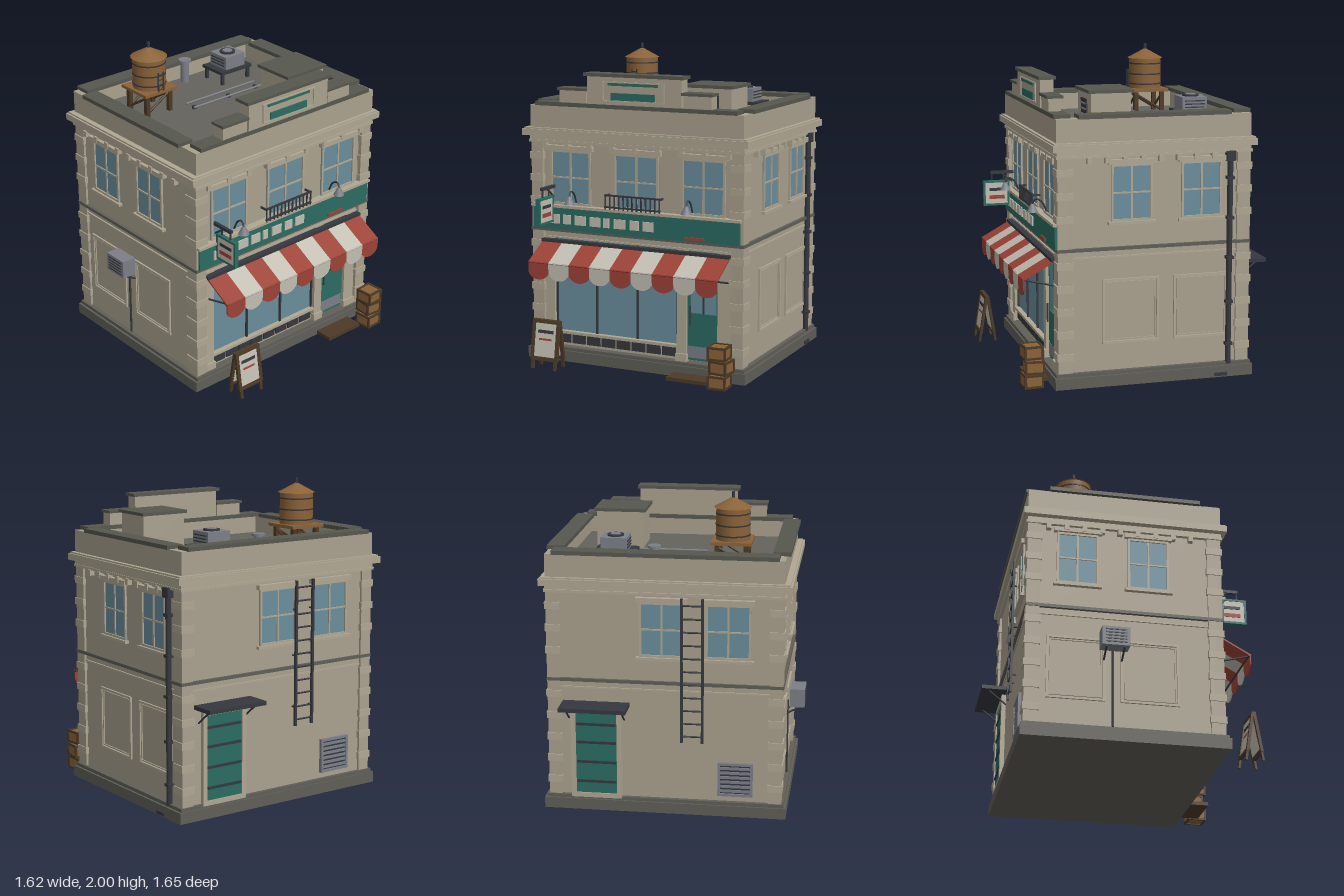
import * as THREE from 'three';

const C = { wall: 0xaaa18e, trim: 0xb0a793, stone: 0x5f5e57, roof: 0x65635c, cap: 0x56584f, teal: 0x2a6b62, red: 0x9c4236, white: 0xc2beb2,
  glass: 0x6a8e9c, dark: 0x35383e, metal: 0x7b7f87, wood: 0x8a6238, darkWood: 0x4c3a27 };
const mats = {};
const mat = (c) => (mats[c] ??= new THREE.MeshStandardMaterial({ color: C[c], roughness: 0.9, side: THREE.DoubleSide }));

function add(parent, name, color, geo, x = 0, y = 0, z = 0) {
  const m = new THREE.Mesh(geo, mat(color));
  m.name = name;
  m.position.set(x, y, z);
  parent.add(m);
  return m;
}
// box given by its limits on each axis
const box = (p, name, color, x0, x1, y0, y1, z0, z1) =>
  add(p, name, color, new THREE.BoxGeometry(x1 - x0, y1 - y0, z1 - z0), (x0 + x1) / 2, (y0 + y1) / 2, (z0 + z1) / 2);
const cyl = (p, name, color, r0, r1, h, x, y, z, n = 20) => add(p, name, color, new THREE.CylinderGeometry(r0, r1, h, n), x, y, z);
// round bar between two points
function bar(p, name, color, a, b, r = 0.006) {
  const A = new THREE.Vector3(...a), B = new THREE.Vector3(...b), d = B.clone().sub(A);
  const m = cyl(p, name, color, r, r, d.length(), 0, 0, 0, 8);
  m.position.copy(A).add(B).multiplyScalar(0.5);
  m.quaternion.setFromUnitVectors(new THREE.Vector3(0, 1, 0), d.normalize());
  return m;
}
function group(parent, name, x = 0, y = 0, z = 0, ry = 0) {
  const g = new THREE.Group();
  g.name = name;
  g.position.set(x, y, z);
  g.rotation.y = ry;
  parent.add(g);
  return g;
}
// rectangular frame facing +z
function frame(p, name, color, x0, x1, y0, y1, t, z0, z1) {
  box(p, name, color, x0, x1, y0, y0 + t, z0, z1);
  box(p, name, color, x0, x1, y1 - t, y1, z0, z1);
  box(p, name, color, x0, x0 + t, y0 + t, y1 - t, z0, z1);
  box(p, name, color, x1 - t, x1, y0 + t, y1 - t, z0, z1);
}
function sashWindow(g, x, w, y0 = 1.02, y1 = 1.37) {
  const h = w / 2, ym = (y0 + y1) / 2;
  box(g, 'windowGlass', 'glass', x - h, x + h, y0, y1, -0.01, 0.004);
  frame(g, 'windowFrame', 'trim', x - h, x + h, y0, y1, 0.014, 0, 0.014);
  box(g, 'windowMullion', 'trim', x - 0.006, x + 0.006, y0, y1, 0, 0.011);
  box(g, 'windowTransom', 'trim', x - h, x + h, ym - 0.005, ym + 0.005, 0, 0.011);
  box(g, 'windowSill', 'trim', x - h - 0.02, x + h + 0.02, y0 - 0.018, y0, 0, 0.028);
  box(g, 'windowLintel', 'trim', x - h - 0.02, x + h + 0.02, y1, y1 + 0.03, 0, 0.03);
}

function building(g) {
  box(g, 'plinth', 'stone', -0.73, 0.8, 0, 0.07, -0.69, 0.58);
  box(g, 'plinthStep', 'stone', -0.715, 0.785, 0.07, 0.092, -0.68, 0.57);
  box(g, 'lowerWalls', 'wall', -0.685, 0.755, 0.09, 0.86, -0.655, 0.5);
  box(g, 'upperWalls', 'wall', -0.685, 0.755, 0.8, 1.5, -0.655, 0.53);
  box(g, 'beltCourse', 'stone', -0.705, 0.775, 0.845, 0.865, -0.672, 0.56);
  box(g, 'beltMoulding', 'trim', -0.695, 0.765, 0.8, 0.81, -0.663, 0.54);
  // cornice in three tiers
  box(g, 'corniceLower', 'trim', -0.71, 0.78, 1.415, 1.432, -0.68, 0.565);
  box(g, 'corniceMiddle', 'trim', -0.705, 0.775, 1.432, 1.458, -0.672, 0.56);
  box(g, 'corniceUpper', 'trim', -0.747, 0.808, 1.458, 1.5, -0.7, 0.59);
  box(g, 'corniceTop', 'trim', -0.735, 0.796, 1.5, 1.51, -0.69, 0.58);
  box(g, 'roofDeck', 'roof', -0.66, 0.73, 1.5, 1.54, -0.63, 0.52);
  // parapet and coping
  for (const [x0, x1, z0, z1] of [[-0.7, -0.63, -0.67, 0.56], [0.7, 0.77, -0.67, 0.56], [-0.63, 0.7, -0.67, -0.6], [-0.63, 0.7, 0.48, 0.56]])
    box(g, 'parapet', 'wall', x0, x1, 1.5, 1.652, z0, z1);
  for (const [x0, x1, z0, z1] of [[-0.725, -0.615, -0.537, 0.424], [0.672, 0.783, -0.537, 0.424], [-0.664, 0.727, -0.68, -0.57], [-0.664, 0.727, 0.46, 0.565]])
    box(g, 'coping', 'cap', x0, x1, 1.65, 1.675, z0, z1);
  // corner pilasters with quoin bands
  for (const [x0, x1] of [[-0.7, -0.62], [0.69, 0.77]])
    for (const [z0, z1] of [[-0.67, -0.585], [0.465, 0.555]]) {
      box(g, 'cornerPilaster', 'wall', x0, x1, 0.09, 1.42, z0, z1);
      for (let y = 0.17; y < 1.4; y += 0.142)
        if (y < 0.8 || y > 1.02) box(g, 'quoin', 'trim', x0 - 0.007, x1 + 0.007, y, y + 0.045, z0 - 0.007, z1 + 0.007);
    }
  // windows and cornice brackets on each wall
  const walls = [['frontWall', 0, 0.53, 0, [[-0.425, 0.29], [0.04, 0.31], [0.497, 0.29]], -0.6, 0.67],
    ['leftWall', 0.755, 0, Math.PI / 2, [[-0.09, 0.26], [0.355, 0.26]], -0.36, 0.54],
    ['rightWall', -0.685, 0, -Math.PI / 2, [[0.09, 0.26], [-0.355, 0.26]], -0.54, 0.36],
    ['backWall', 0, -0.655, Math.PI, [[-0.05, 0.28], [0.36, 0.28]], null]];
  for (const [name, x, z, ry, wins, b0, b1] of walls) {
    const w = group(g, name, x, 0, z, ry);
    for (const [wx, ww] of wins) sashWindow(w, wx, ww);
    if (b0 !== null) for (let i = 0; i < 9; i++) {
      const bx = b0 + (b1 - b0) * i / 8;
      box(w, 'corniceBracket', 'trim', bx - 0.015, bx + 0.015, 1.38, 1.42, 0, 0.035);
    }
    if (wins.length === 2 && b0 !== null) for (const px of [-0.095, 0.36]) {
      const c = name === 'leftWall' ? px : -px;
      frame(w, 'wallPanelMoulding', 'trim', c - 0.18, c + 0.18, 0.26, 0.665, 0.015, 0, 0.012);
      frame(w, 'wallPanelInnerMoulding', 'wall', c - 0.16, c + 0.16, 0.28, 0.645, 0.008, 0, 0.008);
    }
  }
}

function shopfront(g) {
  for (const [x0, x1] of [[-0.62, -0.55], [0.32, 0.385], [0.595, 0.685]]) {
    box(g, 'shopColumn', 'trim', x0, x1, 0.09, 0.8, 0.49, 0.54);
    box(g, 'columnBase', 'trim', x0 - 0.005, x1 + 0.005, 0.09, 0.14, 0.49, 0.552);
  }
  box(g, 'shopGlass', 'glass', -0.55, 0.32, 0.18, 0.8, 0.49, 0.508);
  for (const x of [-0.545, -0.255, 0.035, 0.315]) box(g, 'shopMullion', 'dark', x - 0.006, x + 0.006, 0.18, 0.8, 0.49, 0.52);
  box(g, 'shopSill', 'trim', -0.55, 0.32, 0.172, 0.19, 0.49, 0.54);
  box(g, 'stallRiser', 'trim', -0.55, 0.32, 0.09, 0.175, 0.49, 0.515);
  for (let i = 0; i < 8; i++) box(g, 'riserPanel', 'dark', -0.54 + i * 0.107, -0.445 + i * 0.107, 0.11, 0.168, 0.5, 0.525);
  // entrance door
  box(g, 'doorGlass', 'glass', 0.385, 0.595, 0.11, 0.8, 0.49, 0.505);
  box(g, 'doorPanel', 'teal', 0.39, 0.59, 0.19, 0.4, 0.49, 0.52);
  box(g, 'kickPlate', 'metal', 0.39, 0.59, 0.115, 0.19, 0.49, 0.522);
  frame(g, 'doorFrame', 'teal', 0.385, 0.595, 0.1, 0.76, 0.015, 0.49, 0.52);
  box(g, 'doorMullion', 'dark', 0.484, 0.494, 0.4, 0.75, 0.49, 0.515);
  bar(g, 'doorHandle', 'dark', [0.41, 0.33, 0.535], [0.41, 0.45, 0.535]);
  box(g, 'doorStep', 'darkWood', 0.32, 0.6, 0.005, 0.028, 0.57, 0.7);
  // fascia sign
  box(g, 'fasciaBoard', 'teal', -0.685, 0.75, 0.86, 1.005, 0.52, 0.568);
  box(g, 'fasciaCap', 'trim', -0.695, 0.76, 1.003, 1.02, 0.52, 0.58);
  for (const [x0, x1] of [[-0.575, -0.49], [-0.463, -0.41], [-0.38, -0.3], [-0.273, -0.198], [-0.175, -0.135], [-0.1, -0.02], [0.01, 0.072], [0.1, 0.175]])
    box(g, 'fasciaBlock', 'white', x0, x1, 0.9, 0.96, 0.56, 0.576);
  box(g, 'fasciaAccent', 'red', 0.39, 0.52, 0.87, 0.888, 0.56, 0.576);
  // striped awning with scalloped valance
  const a = group(g, 'awning'), w = 0.145;
  for (let i = 0; i < 9; i++) {
    const c = i % 2 ? 'white' : 'red', x = -0.62 + i * w;
    add(a, 'awningStripe', c, new THREE.BoxGeometry(w, 0.01, 0.212), x + w / 2, 0.723, 0.658).rotation.x = 0.507;
    const s = new THREE.Shape();
    s.moveTo(0, 0.68).lineTo(0, 0.625);
    s.absellipse(w / 2, 0.625, w / 2, 0.058, Math.PI, Math.PI * 2, false);
    s.lineTo(w, 0.68);
    add(a, 'awningValance', c, new THREE.ExtrudeGeometry(s, { depth: 0.008, bevelEnabled: false, curveSegments: 10 }), x, 0, 0.742);
  }
  box(a, 'awningRail', 'dark', -0.625, 0.69, 0.775, 0.795, 0.535, 0.575);
  bar(a, 'awningFrontBar', 'dark', [-0.62, 0.67, 0.738], [0.685, 0.67, 0.738]);
  for (const x of [-0.6, 0.035, 0.665]) bar(a, 'awningArm', 'dark', [x, 0.62, 0.54], [x, 0.67, 0.735]);
}

function frontDetails(g) {
  // balcony railing
  for (const y of [1.03, 1.105]) box(g, 'balconyRail', 'dark', -0.16, 0.225, y, y + 0.01, 0.575, 0.588);
  for (let i = 0; i < 13; i++) bar(g, 'baluster', 'dark', [-0.155 + i * 0.0312, 1.02, 0.582], [-0.155 + i * 0.0312, 1.11, 0.582], 0.005);
  for (const x of [-0.155, 0.22]) box(g, 'balconyReturn', 'dark', x - 0.005, x + 0.005, 1.1, 1.112, 0.53, 0.582);
  // sign lamps
  for (const x of [-0.385, 0.425]) {
    const path = new THREE.CatmullRomCurve3([[0.54, 1.04], [0.57, 1.1], [0.61, 1.12], [0.63, 1.09]].map(([z, y]) => new THREE.Vector3(x, y, z)));
    add(g, 'lampArm', 'dark', new THREE.TubeGeometry(path, 12, 0.006, 6));
    cyl(g, 'lampShade', 'metal', 0.01, 0.035, 0.05, x, 1.065, 0.63);
  }
  // projecting blade sign
  const s = group(g, 'bladeSign', -0.545, 0, 0.66, Math.PI / 2);
  box(s, 'bladeBoard', 'white', -0.08, 0.08, 0.92, 1.07, -0.01, 0.01);
  frame(s, 'bladeFrame', 'teal', -0.09, 0.09, 0.91, 1.08, 0.014, -0.014, 0.014);
  box(s, 'bladeAccent', 'red', -0.05, 0.055, 0.955, 0.98, -0.013, 0.013);
  box(s, 'bladeAccent', 'dark', -0.05, 0.055, 1.01, 1.03, -0.013, 0.013);
  box(s, 'bladeBracket', 'dark', -0.04, 0.12, 1.125, 1.145, -0.01, 0.01);
  bar(s, 'bladeStrut', 'dark', [0.11, 1.07, 0], [0.03, 1.13, 0]);
  for (const x of [-0.03, 0.05]) bar(s, 'bladeHanger', 'dark', [x, 1.07, 0], [x, 1.13, 0]);
  // pavement board
  const b = group(g, 'pavementBoard', -0.478, 0, 0.765);
  for (const side of [1, -1]) {
    const leaf = group(b, 'boardLeaf', 0, 0.315, 0.003 * side, side < 0 ? Math.PI : 0);
    leaf.rotation.order = 'YXZ';
    leaf.rotation.x = -0.16;
    box(leaf, 'boardFace', 'white', -0.08, 0.08, -0.235, -0.02, -0.008, 0.004);
    frame(leaf, 'boardFrame', 'darkWood', -0.097, 0.097, -0.26, 0, 0.022, -0.008, 0.01);
    box(leaf, 'boardAccent', 'dark', -0.055, 0.055, -0.085, -0.065, 0, 0.007);
    box(leaf, 'boardAccent', 'red', -0.045, 0.045, -0.13, -0.118, 0, 0.007);
    for (const x of [-0.08, 0.08]) box(leaf, 'boardLeg', 'darkWood', x - 0.01, x + 0.01, -0.315, -0.25, -0.006, 0.008);
  }
  // stacked crates
  [[0.68, 0.005, 0.7, 0.05], [0.69, 0.095, 0.69, -0.08], [0.68, 0.185, 0.7, 0.06]].forEach(([x, y, z, r]) => {
    const c = group(g, 'crate', x, y, z, r);
    box(c, 'crateBody', 'wood', -0.053, 0.053, 0.004, 0.078, -0.053, 0.053);
    for (let k = 0; k < 4; k++)
      frame(group(c, 'crateSide', 0, 0, 0, k * Math.PI / 2), 'crateSlat', 'darkWood', -0.06, 0.06, 0, 0.084, 0.013, 0.048, 0.06);
  });
}

function sideAndBack(g) {
  // downpipe on the left wall
  cyl(g, 'downpipe', 'dark', 0.018, 0.018, 1.32, 0.775, 0.74, -0.535, 12);
  box(g, 'pipeHopper', 'dark', 0.752, 0.8, 1.365, 1.425, -0.565, -0.505);
  for (const y of [0.2, 0.47, 0.75, 1.0, 1.25]) box(g, 'pipeClamp', 'dark', 0.752, 0.797, y, y + 0.018, -0.558, -0.512);
  box(g, 'pipeOutlet', 'dark', 0.77, 0.81, 0.01, 0.03, -0.52, -0.44);
  // wall unit on the right wall
  box(g, 'wallUnit', 'metal', -0.81, -0.715, 0.58, 0.7, -0.22, -0.05);
  for (let i = 0; i < 5; i++) box(g, 'unitLouvre', 'dark', -0.814, -0.808, 0.597 + i * 0.02, 0.604 + i * 0.02, -0.2, -0.07);
  for (const z of [-0.19, -0.08]) bar(g, 'unitBracket', 'dark', [-0.79, 0.58, z], [-0.69, 0.525, z]);
  bar(g, 'unitPipe', 'dark', [-0.697, 0.1, -0.135], [-0.697, 0.6, -0.135], 0.007);
  // rear door, canopy, ladder and vent
  const b = group(g, 'rearDetails', 0, 0, -0.655, Math.PI);
  box(b, 'rearDoor', 'teal', -0.595, -0.335, 0.1, 0.645, 0, 0.02);
  frame(b, 'rearDoorFrame', 'trim', -0.625, -0.305, 0.08, 0.675, 0.03, 0, 0.028);
  for (const y of [0.18, 0.31, 0.44, 0.56]) box(b, 'rearDoorBand', 'dark', -0.59, -0.34, y, y + 0.016, 0.01, 0.027);
  box(b, 'rearCanopy', 'dark', -0.675, -0.255, 0.69, 0.715, 0, 0.165);
  for (const x of [-0.64, -0.29]) bar(b, 'canopyBracket', 'dark', [x, 0.6, 0], [x, 0.695, 0.12]);
  for (const x of [0.075, 0.205]) box(b, 'ladderRail', 'dark', x - 0.008, x + 0.008, 0.48, 1.405, 0.025, 0.04);
  for (let i = 0; i < 11; i++) bar(b, 'ladderRung', 'dark', [0.075, 0.52 + i * 0.084, 0.032], [0.205, 0.52 + i * 0.084, 0.032]);
  for (const y of [0.6, 0.93, 1.22]) for (const x of [0.075, 0.205]) bar(b, 'ladderStay', 'dark', [x, y, 0], [x, y, 0.03]);
  box(b, 'vent', 'dark', 0.31, 0.51, 0.14, 0.34, 0, 0.01);
  frame(b, 'ventFrame', 'metal', 0.3, 0.52, 0.13, 0.35, 0.016, 0, 0.022);
  for (let i = 0; i < 6; i++) box(b, 'ventLouvre', 'metal', 0.312, 0.508, 0.155 + i * 0.03, 0.172 + i * 0.03, 0, 0.017);
}

function roofDetails(g) {
  // stepped front gable
  box(g, 'gablePanel', 'wall', -0.29, 0.36, 1.65, 1.85, 0.475, 0.56);
  box(g, 'gableCap', 'cap', -0.31, 0.375, 1.848, 1.868, 0.463, 0.572);
  frame(g, 'gableFrame', 'trim', -0.18, 0.245, 1.695, 1.82, 0.008, 0.555, 0.567);
  box(g, 'gableAccent', 'teal', -0.14, 0.2, 1.795, 1.812, 0.555, 0.57);
  box(g, 'gableAccent', 'teal', -0.12, 0.18, 1.705, 1.75, 0.555, 0.568);
  for (const [x0, x1] of [[-0.5, -0.29], [0.36, 0.565]]) {
    box(g, 'gableShoulder', 'wall', x0 + 0.01, x1 - 0.01, 1.65, 1.755, 0.475, 0.555);
    box(g, 'shoulderCap', 'cap', x0, x1, 1.753, 1.77, 0.463, 0.567);
  }
  // roof access hut
  box(g, 'roofHut', 'wall', 0.27, 0.575, 1.53, 1.78, 0.04, 0.295);
  box(g, 'roofHutCap', 'cap', 0.255, 0.59, 1.778, 1.798, 0.023, 0.312);
  box(g, 'roofHutDoor', 'dark', 0.36, 0.49, 1.545, 1.735, 0.29, 0.302);
  for (let i = 0; i < 5; i++) box(g, 'hutDoorSlat', 'metal', 0.37, 0.48, 1.565 + i * 0.034, 1.575 + i * 0.034, 0.3, 0.308);
  // water tank
  const t = group(g, 'waterTank', -0.35, 0, -0.33);
  box(t, 'tankPlatform', 'wood', -0.126, 0.126, 1.685, 1.705, -0.125, 0.125);
  for (const x of [-0.09, 0.09]) for (const z of [-0.09, 0.09]) box(t, 'tankLeg', 'darkWood', x - 0.014, x + 0.014, 1.53, 1.69, z - 0.014, z + 0.014);
  for (const s of [-0.09, 0.09]) {
    bar(t, 'tankBrace', 'darkWood', [-0.09, 1.56, s], [0.09, 1.67, s], 0.008);
    bar(t, 'tankBrace', 'darkWood', [s, 1.56, -0.09], [s, 1.67, 0.09], 0.008);
  }
  cyl(t, 'tankBarrel', 'wood', 0.106, 0.106, 0.205, 0, 1.805, 0, 28);
  for (const y of [1.735, 1.8, 1.87]) cyl(t, 'tankHoop', 'dark', 0.109, 0.109, 0.009, 0, y, 0, 28);
  cyl(t, 'tankRoof', 'wood', 0.008, 0.118, 0.06, 0, 1.935, 0, 16);
  cyl(t, 'tankFinial', 'dark', 0.01, 0.01, 0.05, 0, 1.975, 0, 8);
  for (const x of [-0.02, 0.02]) bar(t, 'tankLadderRail', 'dark', [x, 1.69, 0.12], [x, 1.83, 0.12], 0.005);
  for (let i = 0; i < 4; i++) bar(t, 'tankLadderRung', 'dark', [-0.02, 1.715 + i * 0.033, 0.12], [0.02, 1.715 + i * 0.033, 0.12], 0.004);
  // cooling unit on its stand
  box(g, 'coolerStand', 'dark', 0.24, 0.5, 1.615, 1.635, -0.51, -0.31);
  for (const x of [0.26, 0.48]) for (const z of [-0.49, -0.33]) box(g, 'standLeg', 'dark', x - 0.01, x + 0.01, 1.53, 1.62, z - 0.01, z + 0.01);
  box(g, 'coolerBody', 'metal', 0.29, 0.455, 1.635, 1.722, -0.49, -0.33);
  for (let i = 0; i < 3; i++) box(g, 'coolerLouvre', 'dark', 0.285, 0.46, 1.655 + i * 0.02, 1.662 + i * 0.02, -0.475, -0.345);
  cyl(g, 'coolerFanRing', 'dark', 0.052, 0.052, 0.012, 0.372, 1.726, -0.41);
  cyl(g, 'coolerFanHub', 'metal', 0.033, 0.033, 0.012, 0.372, 1.73, -0.41);
  // vent pipe and conduits
  cyl(g, 'ventPipe', 'metal', 0.028, 0.028, 0.15, 0.11, 1.61, -0.54);
  cyl(g, 'ventPipeCap', 'metal', 0.042, 0.042, 0.014, 0.11, 1.69, -0.54);
  for (const z of [-0.19, -0.11]) bar(g, 'roofConduit', 'metal', [-0.165, 1.57, z], [0.41, 1.57, z], 0.007);
  for (const x of [-0.13, 0.16, 0.39]) box(g, 'conduitSupport', 'dark', x - 0.011, x + 0.011, 1.535, 1.56, -0.162, -0.138);
}

export function createModel() {
  const g = new THREE.Group();
  g.name = 'cornerShop';
  for (const part of [building, shopfront, frontDetails, sideAndBack, roofDetails]) part(group(g, part.name));
  return g;
}
